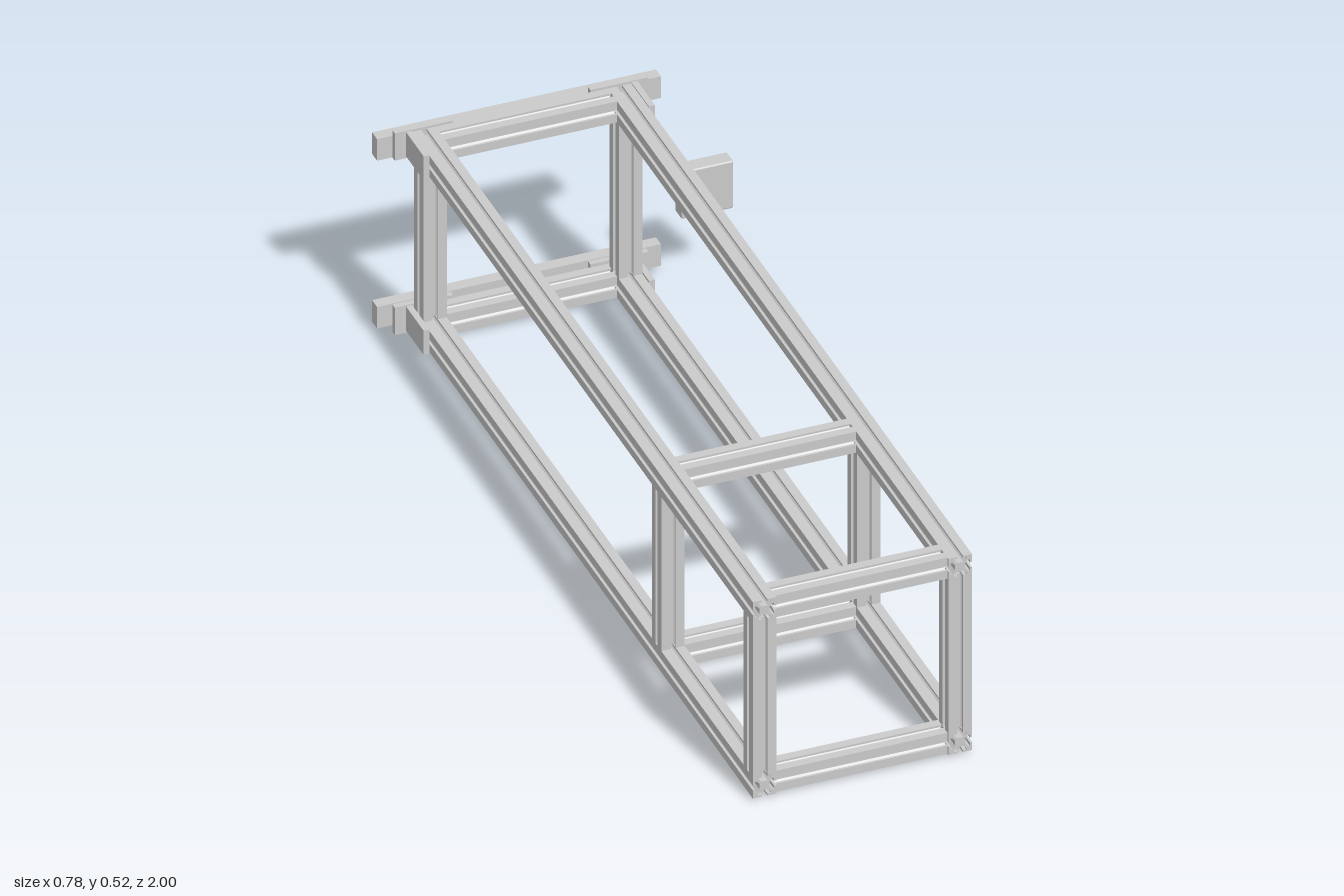
import * as THREE from 'three';
import { RoundedBoxGeometry } from 'three/addons/geometries/RoundedBoxGeometry.js';

const SIZE = 0.054; // width of the slotted profile
const LEFT = 0.162, RIGHT = -0.288, LOW = 0.038, HIGH = 0.487;

// Square profile with a T-slot in each side: one quarter, turned four times.
function slotProfile() {
  const h = SIZE / 2;
  const quarter = [
    [h, -h], [h, -0.0062], [h - 0.005, -0.0062], [h - 0.005, -0.014], [h - 0.009, -0.014],
    [h - 0.0155, -0.007], [h - 0.0155, 0.007], [h - 0.009, 0.014], [h - 0.005, 0.014],
    [h - 0.005, 0.0062], [h, 0.0062],
  ];
  const points = [];
  for (let i = 0; i < 4; i++) {
    const c = Math.round(Math.cos(i * Math.PI / 2)), s = Math.round(Math.sin(i * Math.PI / 2));
    for (const [x, y] of quarter) points.push(new THREE.Vector2(x * c - y * s, x * s + y * c));
  }
  return new THREE.Shape(points);
}

export function createModel() {
  const group = new THREE.Group();
  const material = new THREE.MeshStandardMaterial({ color: 0xcccccc });
  const profile = slotProfile();

  function add(name, geometry, x, y, z) {
    const mesh = new THREE.Mesh(geometry, material);
    mesh.name = name;
    mesh.position.set(x, y, z);
    group.add(mesh);
  }

  // Slotted bar centred on a point, running along the given axis
  function bar(name, axis, length, x, y, z) {
    const g = new THREE.ExtrudeGeometry(profile, { depth: length, bevelEnabled: false });
    g.translate(0, 0, -length / 2);
    if (axis === 'x') g.rotateY(Math.PI / 2);
    if (axis === 'y') g.rotateX(Math.PI / 2);
    add(name, g, x, y, z);
  }

  function box(name, x0, x1, y0, y1, z0, z1) {
    add(name, new THREE.BoxGeometry(x1 - x0, y1 - y0, z1 - z0),
      (x0 + x1) / 2, (y0 + y1) / 2, (z0 + z1) / 2);
  }

  // Long rails at the four corners
  for (const x of [LEFT, RIGHT])
    for (const y of [LOW, HIGH]) bar('longRail', 'z', 1.957, x, y, 0.0215);

  // Three frames of uprights and cross beams
  const midX = (LEFT + RIGHT) / 2, midY = (LOW + HIGH) / 2;
  for (const [postZ, beamZ] of [[0.973, 0.967], [0.447, 0.443], [-0.92, -0.931]]) {
    for (const x of [LEFT, RIGHT]) bar('upright', 'y', HIGH - LOW - SIZE, x, midY, postZ);
    for (const y of [LOW, HIGH]) bar('crossBeam', 'x', LEFT - RIGHT - SIZE, midX, y, beamZ);
  }

  // Rear bars and the angle brackets that carry them
  for (const [barY, bracketY] of [[0.02, 0.003], [0.45, 0.45]]) {
    box('rearBar', -0.39, 0.263, barY, barY + 0.055, -1, -0.971);
    for (const [x, side] of [[LEFT, 1], [RIGHT, -1]]) {
      box('bracketPlate', x - 0.067, x + 0.067, bracketY, bracketY + 0.07, -0.971, -0.957);
      const inner = x + side * SIZE / 2, outer = inner + side * 0.014;
      box('bracketFlange', Math.min(inner, outer), Math.max(inner, outer),
        bracketY + 0.005, bracketY + 0.067, -0.957, -0.856);
    }
  }

  // Separate block beside the rear frame
  add('sideBlock', new RoundedBoxGeometry(0.12, 0.121, 0.039, 2, 0.004), 0.328, 0.262, -0.885);

  return group;
}
